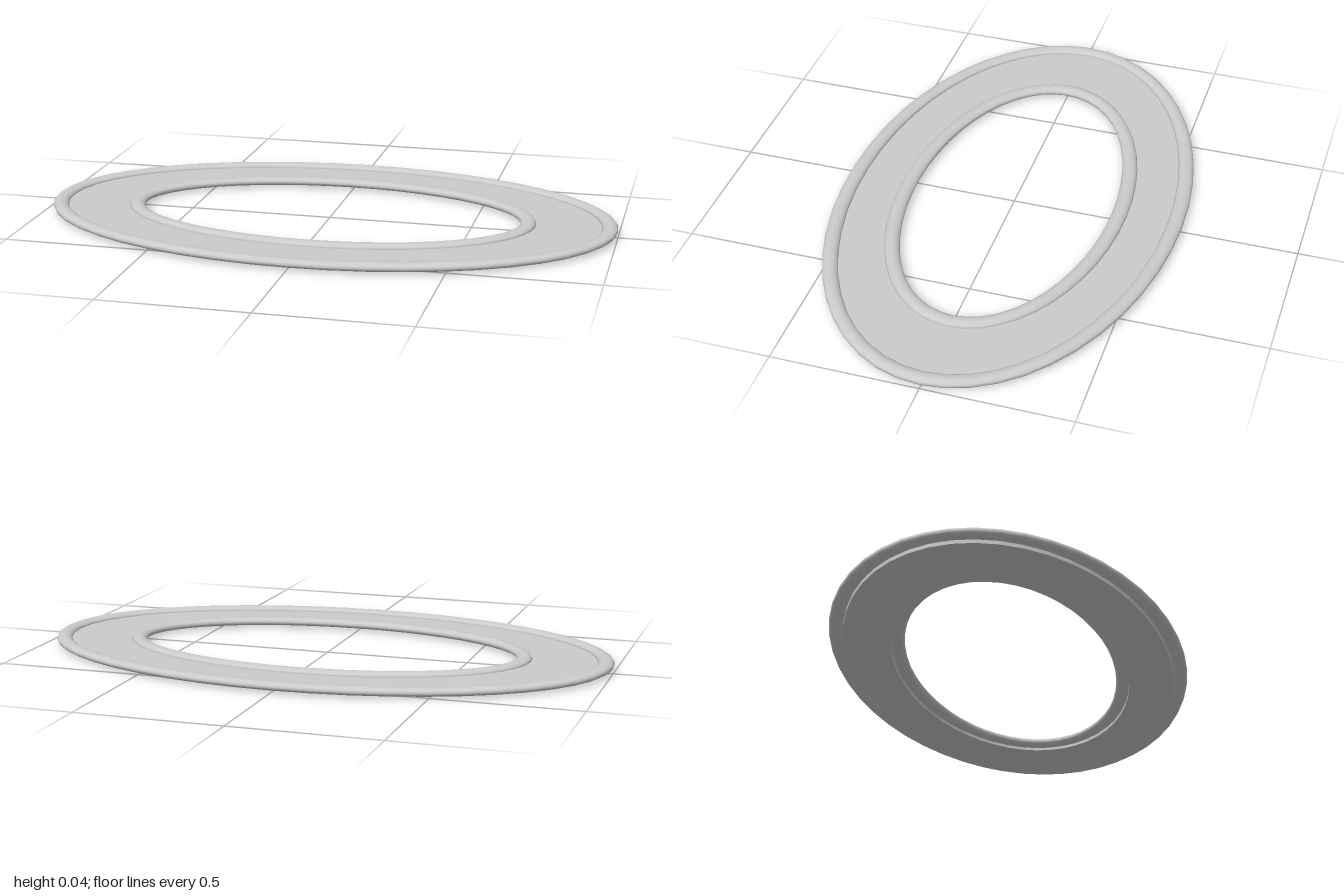
import * as THREE from 'three';

const SEGMENTS = 48;
const RIM_SIDES = 12;

const material = () => new THREE.MeshStandardMaterial({ color: 0xcccccc });

// Points round an ellipse with half-axes a and b
function ellipsePoints(a, b) {
  return Array.from({ length: SEGMENTS }, (_, i) => {
    const t = (i / SEGMENTS) * Math.PI * 2;
    return new THREE.Vector2(a * Math.cos(t), b * Math.sin(t));
  });
}

// Rounded bead of constant width that follows an ellipse
function rim(name, a, b, halfWidth, halfHeight, y) {
  const geometry = new THREE.TorusGeometry(1, 0.1, RIM_SIDES, SEGMENTS);
  geometry.rotateX(-Math.PI / 2);
  const p = geometry.attributes.position;
  for (let j = 0; j <= RIM_SIDES; j++) {
    const v = (j / RIM_SIDES) * Math.PI * 2;
    const offset = halfWidth * Math.cos(v);
    for (let i = 0; i <= SEGMENTS; i++) {
      const u = (i / SEGMENTS) * Math.PI * 2;
      p.setXYZ(
        j * (SEGMENTS + 1) + i,
        (a + offset) * Math.cos(u),
        y + halfHeight * Math.sin(v),
        -(b + offset) * Math.sin(u)
      );
    }
  }
  // Smooth normals of the elliptical bead
  const n = geometry.attributes.normal;
  const normal = new THREE.Vector3();
  for (let j = 0; j <= RIM_SIDES; j++) {
    const v = (j / RIM_SIDES) * Math.PI * 2;
    for (let i = 0; i <= SEGMENTS; i++) {
      const u = (i / SEGMENTS) * Math.PI * 2;
      normal.set(b * Math.cos(u), 0, -a * Math.sin(u)).normalize();
      normal.multiplyScalar(Math.cos(v) / halfWidth);
      normal.y = Math.sin(v) / halfHeight;
      normal.normalize();
      n.setXYZ(j * (SEGMENTS + 1) + i, normal.x, normal.y, normal.z);
    }
  }
  const mesh = new THREE.Mesh(geometry, material());
  mesh.name = name;
  return mesh;
}

// Flat elliptical plate with an elliptical opening
function plate() {
  const shape = new THREE.Shape(ellipsePoints(0.95, 0.55));
  shape.holes.push(new THREE.Path(ellipsePoints(0.715, 0.397).reverse()));
  const geometry = new THREE.ExtrudeGeometry(shape, { depth: 0.02, bevelEnabled: false });
  geometry.rotateX(-Math.PI / 2);
  const mesh = new THREE.Mesh(geometry, material());
  mesh.name = 'plate';
  return mesh;
}

export function createModel() {
  const group = new THREE.Group();
  group.name = 'ovalFrame';
  group.add(
    plate(),
    rim('outerRim', 0.973, 0.573, 0.027, 0.015, 0.02),
    rim('innerRim', 0.695, 0.377, 0.027, 0.015, 0.02)
  );
  return group;
}
